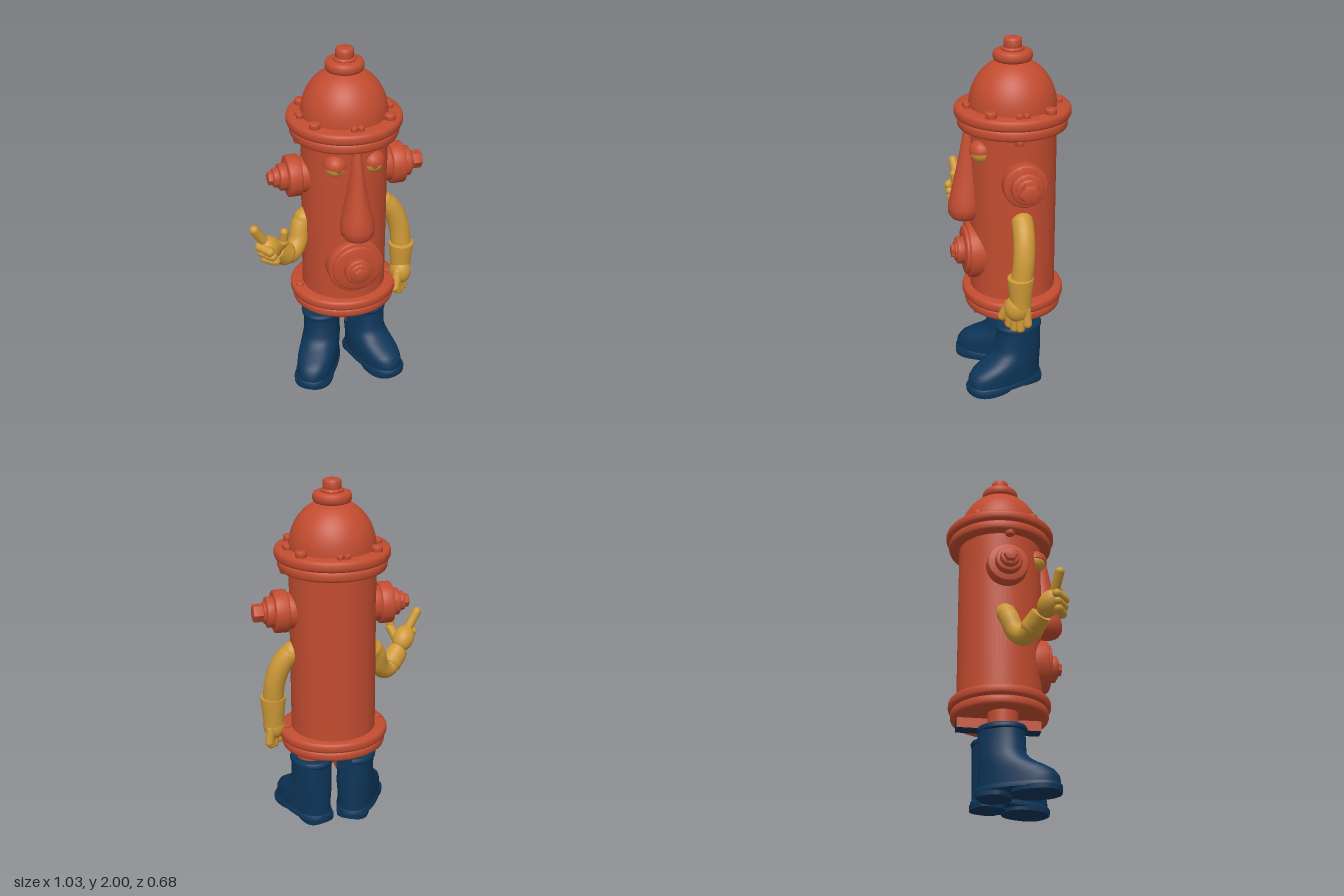
import * as THREE from 'three';
import { mergeVertices, toCreasedNormals } from 'three/addons/utils/BufferGeometryUtils.js';

const V = (x, y, z) => new THREE.Vector3(x, y, z);
const CX = 0.07, CZ = -0.025; // hydrant axis

export function createModel() {
  const model = new THREE.Group();
  const mat = (name, color) => Object.assign(new THREE.MeshStandardMaterial({ color }), { name });
  const red = mat('hydrant red', 0xc24c30);
  const yellow = mat('skin yellow', 0xcc9836);
  const blue = mat('boot blue', 0x0d3558);

  const add = (parent, name, geo, material, x = 0, y = 0, z = 0) => {
    const m = new THREE.Mesh(geo, material);
    m.name = name;
    m.position.set(x, y, z);
    parent.add(m);
    return m;
  };
  const group = (parent, name, x = 0, y = 0, z = 0) => {
    const g = new THREE.Group();
    g.name = name;
    g.position.set(x, y, z);
    parent.add(g);
    return g;
  };
  const lathe = (pts, seg = 48) =>
    toCreasedNormals(new THREE.LatheGeometry(pts.map(p => new THREE.Vector2(...p)), seg), 0.85);
  // Disc with softened rims
  const disc = (r, y0, y1, b = 0.012, seg = 48) => lathe([
    [0, y0], [r - b, y0], [r - 0.3 * b, y0 + 0.3 * b], [r, y0 + b],
    [r, y1 - b], [r - 0.3 * b, y1 - 0.3 * b], [r - b, y1], [0, y1]], seg);
  // Stack of superellipse rings [y, centre z, radius x, radius z], listed top to bottom
  const loft = (rings, power = 2, seg = 40) => {
    const g = new THREE.CylinderGeometry(1, 1, 1, seg, rings.length - 1);
    const p = g.attributes.position;
    const bend = v => Math.sign(v) * Math.abs(v) ** (2 / power);
    for (let i = 0; i < p.count; i++) {
      const [y, cz, rx, rz] = rings[Math.round((0.5 - p.getY(i)) * (rings.length - 1))];
      p.setXYZ(i, rx * bend(p.getX(i)), y, cz + rz * bend(p.getZ(i)));
    }
    g.deleteAttribute('uv');
    g.deleteAttribute('normal');
    return toCreasedNormals(mergeVertices(g, 1e-5), 0.9);
  };
  // Place a y-axis geometry along the segment a to b
  const between = (parent, name, geo, material, a, b) => {
    const m = add(parent, name, geo, material);
    m.position.copy(a).lerp(b, 0.5);
    m.quaternion.setFromUnitVectors(V(0, 1, 0), b.clone().sub(a).normalize());
    return m;
  };
  const finger = (parent, name, a, b, r) =>
    between(parent, name, new THREE.CapsuleGeometry(r, a.distanceTo(b), 6, 14), yellow, a, b);

  // Barrel, flanges and dome
  const hydrant = group(model, 'hydrant', CX, 0, CZ);
  add(hydrant, 'barrel', lathe([[0, 0.5], [0.238, 0.5], [0.238, 1.6], [0, 1.6]], 64), red);
  add(hydrant, 'topFlangeUpper', disc(0.315, 1.578, 1.637, 0.018, 64), red);
  add(hydrant, 'topFlangeLower', disc(0.298, 1.52, 1.578, 0.016, 64), red);
  const baseUpper = add(hydrant, 'baseFlangeUpper', disc(0.308, 0.522, 0.578, 0.016, 64), red);
  const baseLower = add(hydrant, 'baseFlangeLower', disc(0.294, 0.467, 0.522, 0.016, 64), red);
  baseUpper.scale.z = baseLower.scale.z = 0.92;
  const domePts = [];
  for (let i = 0; i <= 16; i++) {
    const a = i / 16 * Math.PI / 2;
    domePts.push([0.237 * Math.cos(a), 1.635 + 0.26 * Math.sin(a)]);
  }
  add(hydrant, 'dome', lathe(domePts, 64), red);
  add(hydrant, 'domeCap', disc(0.105, 1.875, 1.935, 0.02), red);
  add(hydrant, 'domeCollar', disc(0.062, 1.93, 1.95, 0.008), red);
  add(hydrant, 'domeKnob', disc(0.049, 1.94, 2.0, 0.01, 24), red);

  // Flange bolts: four large on the diagonals, four small pairs between
  const bigBolt = disc(0.031, 1.63, 1.668, 0.008, 16);
  const smallBolt = disc(0.018, 1.63, 1.662, 0.006, 14);
  for (let i = 0; i < 4; i++) {
    const a = Math.PI / 4 + i * Math.PI / 2 - 0.1 * Math.sign(Math.sin(Math.PI / 4 + i * Math.PI / 2)) * Math.sign(Math.cos(Math.PI / 4 + i * Math.PI / 2));
    add(hydrant, 'largeBolt', bigBolt, red, 0.265 * Math.cos(a), 0, 0.25 * Math.sin(a));
    for (const s of [-1, 1]) {
      const b = i * Math.PI / 2 + s * 0.075;
      add(hydrant, 'smallBolt', smallBolt, red, 0.252 * Math.cos(b), 0, 0.252 * Math.sin(b));
    }
  }
  for (const s of [-1, 1]) {
    add(hydrant, 'lowerNut', disc(0.025, 1.495, 1.53, 0.006, 12), red, s * 0.262, 0, 0.02);
    add(hydrant, 'baseNut', disc(0.024, 0.57, 0.592, 0.006, 12), red, s * 0.265, 0, 0.02);
  }

  // Side and front outlets: rows of [radius, start, end, sides]
  const outlet = (name, rows, y, rx, rz) => {
    const g = group(hydrant, name, 0, y, 0);
    g.rotation.set(rx, 0, rz);
    rows.forEach(([r, a, b, n = 40]) => add(g, name + 'Ring', disc(r, a, b, n === 6 ? 0.004 : 0.009, n), red));
    return g;
  };
  outlet('leftOutlet', [[0.1, 0.17, 0.27], [0.118, 0.255, 0.334], [0.085, 0.32, 0.375],
    [0.062, 0.37, 0.39], [0.051, 0.38, 0.445, 6]], 1.287, 0, -Math.PI / 2);
  outlet('rightOutlet', [[0.1, 0.17, 0.27], [0.116, 0.255, 0.33], [0.076, 0.32, 0.373],
    [0.054, 0.36, 0.405], [0.038, 0.39, 0.431, 6]], 1.287, 0, Math.PI / 2);
  outlet('frontOutlet', [[0.158, 0.13, 0.262], [0.137, 0.25, 0.28], [0.076, 0.27, 0.322],
    [0.056, 0.31, 0.333], [0.039, 0.32, 0.35, 6]], 0.8, Math.PI / 2, 0);

  // Nose
  add(model, 'nose', loft([
    [1.515, 0.212, 0.008, 0.012], [1.508, 0.212, 0.022, 0.03], [1.48, 0.212, 0.027, 0.037],
    [1.4, 0.214, 0.036, 0.05], [1.3, 0.218, 0.05, 0.067], [1.2, 0.225, 0.068, 0.083],
    [1.12, 0.234, 0.086, 0.093], [1.07, 0.24, 0.095, 0.096], [1.03, 0.244, 0.09, 0.09],
    [1.005, 0.247, 0.07, 0.07], [0.992, 0.25, 0.042, 0.042], [0.987, 0.25, 0.008, 0.008]]), red, CX);

  // Eyes with heavy lids
  for (const s of [-1, 1]) {
    const eye = group(model, s > 0 ? 'leftEye' : 'rightEye', CX + s * 0.103, 1.415, 0.166);
    add(eye, 'eyeball', new THREE.SphereGeometry(0.059, 28, 20), yellow);
    const lid = add(eye, 'eyelid', lathe([[0, 0], [0.067, 0], [0.067, 0.01], [0.063, 0.025],
      [0.054, 0.042], [0.036, 0.057], [0.016, 0.065], [0, 0.067]], 32), red, 0, 0.004, 0);
    lid.rotation.x = 0.05;
    const pupil = add(eye, 'pupil', new THREE.SphereGeometry(0.016, 16, 10), red, -s * 0.004, 0, 0.056);
    pupil.scale.z = 0.4;
  }

  // Left arm, hanging
  const arm = (parent, pts, r) => add(parent, 'sleeve',
    new THREE.TubeGeometry(new THREE.CatmullRomCurve3(pts), 32, r, 20), yellow);
  const cuff = [[0, 0], [0.058, 0], [0.063, 0.08], [0.072, 0.155], [0.072, 0.168], [0.062, 0.172], [0, 0.172]];
  const left = group(model, 'leftArm');
  arm(left, [V(0.25, 1.05, -0.035), V(0.315, 1.03, -0.028), V(0.365, 0.97, -0.024),
    V(0.4, 0.87, -0.016), V(0.412, 0.74, -0.002)], 0.059);
  add(left, 'shoulder', new THREE.SphereGeometry(0.06, 20, 14), yellow, 0.302, 1.042, -0.028);
  add(left, 'cuff', lathe(cuff, 32), yellow, 0.41, 0.6, 0.004);
  add(left, 'palm', new THREE.SphereGeometry(0.07, 24, 18), yellow, 0.405, 0.585, 0.018).scale.set(0.9, 1.15, 1.05);
  finger(left, 'thumb', V(0.375, 0.6, 0.06), V(0.352, 0.515, 0.092), 0.026);
  [[0.375, 0.475, 0.058], [0.402, 0.462, 0.035], [0.428, 0.468, 0.008], [0.443, 0.5, -0.028]].forEach(([x, y, z]) =>
    finger(left, 'finger', V(0.405 + (x - 0.405) * 0.7, 0.58, z * 0.9 + 0.002), V(x, y, z), 0.025));

  // Right arm, bent and pointing
  const right = group(model, 'rightArm');
  arm(right, [V(-0.13, 1.04, -0.03), V(-0.185, 0.98, -0.01), V(-0.21, 0.89, 0.02),
    V(-0.262, 0.842, 0.06), V(-0.325, 0.875, 0.1), V(-0.355, 0.91, 0.12)], 0.054);
  add(right, 'shoulder', new THREE.SphereGeometry(0.057, 20, 14), yellow, -0.165, 1.01, -0.02);
  const cuffGeo = lathe([[0, -0.055], [0.058, -0.055], [0.066, -0.045], [0.064, -0.03],
    [0.056, 0.055], [0, 0.055]], 32);
  between(right, 'cuff', cuffGeo, yellow, V(-0.29, 0.855, 0.085), V(-0.365, 0.93, 0.135));
  const palm = between(right, 'palm', new THREE.SphereGeometry(0.066, 24, 18), yellow,
    V(-0.37, 0.93, 0.145), V(-0.435, 1.02, 0.205));
  palm.scale.set(0.95, 1.25, 0.95);
  finger(right, 'indexFinger', V(-0.42, 1.0, 0.19), V(-0.493, 1.12, 0.212), 0.026);
  finger(right, 'thumb', V(-0.365, 0.97, 0.19), V(-0.338, 1.03, 0.225), 0.028);
  finger(right, 'thumbTip', V(-0.338, 1.03, 0.225), V(-0.335, 1.095, 0.235), 0.023);
  for (let i = 0; i < 3; i++) {
    finger(right, 'curledFinger', V(-0.465 + i * 0.014, 1.005 - i * 0.036, 0.2 + i * 0.006),
      V(-0.42 + i * 0.016, 0.995 - i * 0.034, 0.252 - i * 0.004), 0.026);
  }

  // Legs and boots
  const foot = [[0.365, 0.125], [0.24, 0.13], [0.205, 0.155], [0.175, 0.2], [0.15, 0.25],
    [0.125, 0.29], [0.095, 0.313], [0.06, 0.318], [0.025, 0.312]];
  const footGeo = loft(foot.map(([y, front], i) =>
    [y, (front - 0.13) / 2, i < 2 ? 0.103 : Math.min(0.112, 0.103 + i * 0.002), (front + 0.13) / 2]), 2.3);
  const rimGeo = loft([[0.39, 0, 0.1, 0.12], [0.387, 0, 0.11, 0.132], [0.375, 0, 0.117, 0.139],
    [0.36, 0, 0.115, 0.137], [0.352, 0, 0.1, 0.125]]);
  const weltGeo = loft([[0.052, 0.094, 0.112, 0.226], [0.045, 0.094, 0.117, 0.232],
    [0.025, 0.094, 0.117, 0.232]], 2.4);
  const frontSoleGeo = loft([[0.03, 0.19, 0.114, 0.134], [0.005, 0.19, 0.112, 0.132]], 2.4);
  const heelGeo = loft([[0.03, -0.045, 0.094, 0.09], [0, -0.045, 0.092, 0.088]], 3);
  for (const [side, x, turn] of [['left', 0.202, 0.34], ['right', -0.06, -0.5]]) {
    add(model, side + 'Leg', new THREE.CylinderGeometry(0.083, 0.083, 0.16, 32), red, x, 0.42, CZ);
    const boot = group(model, side + 'Boot', x, 0, CZ - 0.005);
    boot.rotation.y = turn;
    add(boot, 'bootBody', footGeo, blue);
    add(boot, 'bootRim', rimGeo, blue);
    add(boot, 'bootWelt', weltGeo, blue);
    add(boot, 'bootSole', frontSoleGeo, blue);
    add(boot, 'bootHeel', heelGeo, blue);
  }

  // Keel bar under the barrel: red flanks, blue underside and ends
  add(model, 'keelBar', new THREE.BoxGeometry(0.09, 0.07, 0.465), [red, red, red, blue, blue, blue], 0.066, 0.445, -0.032);
  return model;
}
